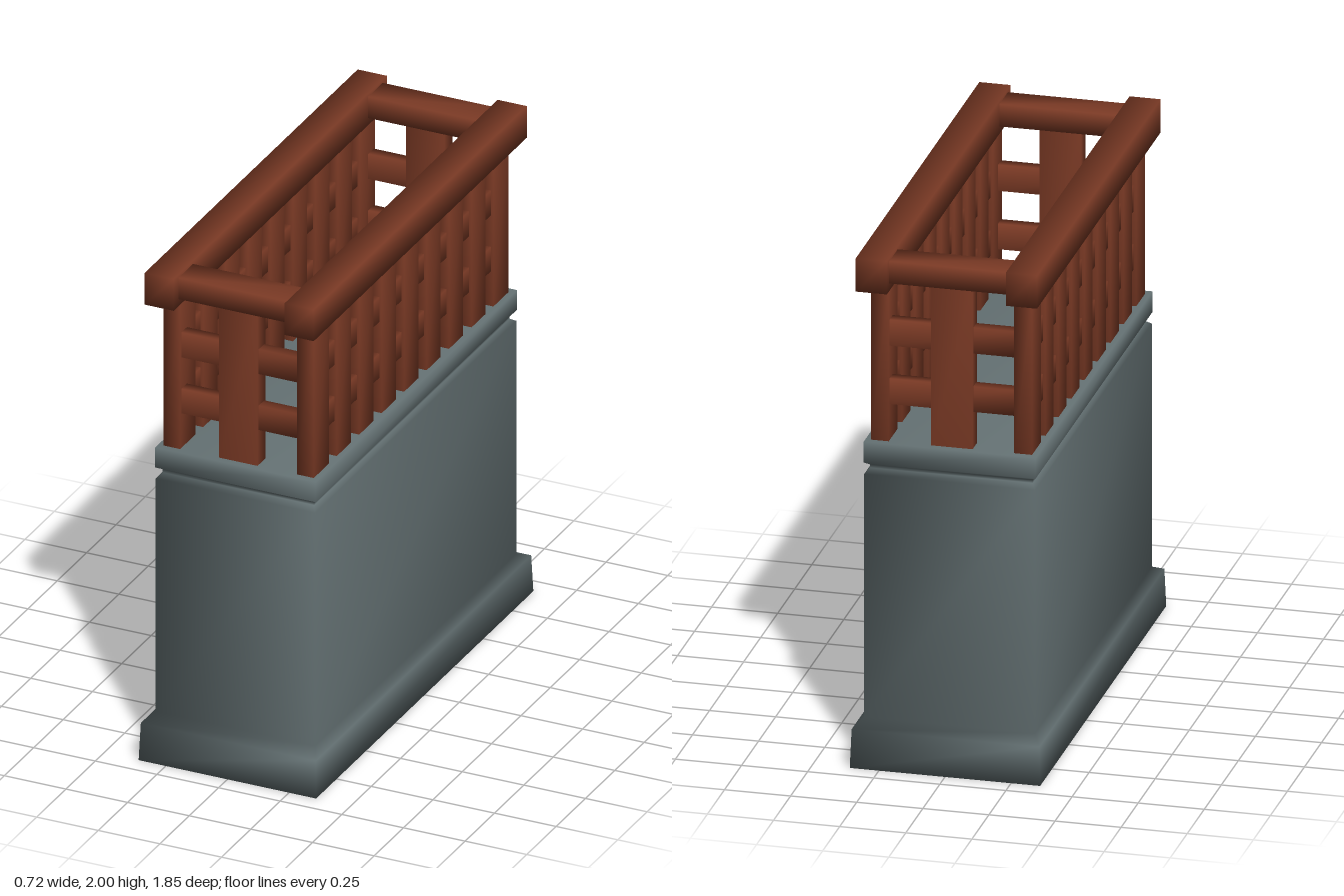
import * as THREE from 'three';
import { mergeVertices } from 'three/addons/utils/BufferGeometryUtils.js';

const stone = new THREE.MeshStandardMaterial({ color: 0x657274 });
stone.name = 'grey stone';
const wood = new THREE.MeshStandardMaterial({ color: 0x7b3a25 });
wood.name = 'red brown wood';

// Weld the corners so the shading runs smoothly round the edges
function soften(geometry) {
  geometry.deleteAttribute('normal');
  geometry.deleteAttribute('uv');
  const welded = mergeVertices(geometry);
  welded.computeVertexNormals();
  return welded;
}

// Wooden beam given by its extents on each axis
function beam(name, [x0, x1], [y0, y1], [z0, z1]) {
  const geometry = soften(new THREE.BoxGeometry(x1 - x0, y1 - y0, z1 - z0));
  const mesh = new THREE.Mesh(geometry, wood);
  mesh.position.set((x0 + x1) / 2, (y0 + y1) / 2, (z0 + z1) / 2);
  mesh.name = name;
  return mesh;
}

// Rectangular pedestal: levels are [height, half width, half depth]
function pedestal() {
  const levels = [
    [0, 0.36, 0.925], [0.15, 0.355, 0.917], [0.178, 0.323, 0.857],
    [1.135, 0.323, 0.857], [1.152, 0.308, 0.832], [1.165, 0.308, 0.832],
    [1.18, 0.325, 0.857], [1.262, 0.325, 0.857],
  ];
  const points = [];
  const index = [];
  levels.forEach(([y, x, z]) => points.push(-x, y, z, x, y, z, x, y, -z, -x, y, -z));
  for (let i = 0; i < levels.length - 1; i++) {
    for (let s = 0; s < 4; s++) {
      const a = i * 4 + s, b = i * 4 + (s + 1) % 4;
      index.push(a, b, b + 4, a, b + 4, a + 4);
    }
  }
  const t = (levels.length - 1) * 4;
  index.push(0, 2, 1, 0, 3, 2, t, t + 1, t + 2, t, t + 2, t + 3);
  const geometry = new THREE.BufferGeometry();
  geometry.setAttribute('position', new THREE.Float32BufferAttribute(points, 3));
  geometry.setIndex(index);
  geometry.computeVertexNormals();
  const mesh = new THREE.Mesh(geometry, stone);
  mesh.name = 'pedestal';
  return mesh;
}

export function createModel() {
  const group = new THREE.Group();
  group.name = 'fencedPedestal';
  group.add(pedestal());

  const crossbars = [[1.405, 1.505], [1.635, 1.737]];
  const span = (side, a, b) => (side > 0 ? [a, b] : [-b, -a]);

  for (const side of [1, -1]) {
    const label = side > 0 ? 'left' : 'right';
    const end = side > 0 ? 'front' : 'back';

    // Long sides: handrail, nine slats and two crossbars
    group.add(beam(label + 'Handrail', span(side, 0.225, 0.343), [1.87, 2], [-0.905, 0.91]));
    for (let i = 0; i < 9; i++) {
      const z = -0.765 + i * 0.1912;
      const half = i === 0 || i === 8 ? 0.065 : 0.06;
      group.add(beam(label + 'Slat', span(side, 0.237, 0.305), [1.255, 1.88], [z - half, z + half]));
    }
    for (const y of crossbars) {
      group.add(beam(label + 'Crossbar', span(side, 0.247, 0.295), y, [-0.72, 0.72]));
    }

    // Short ends: top rail, middle slat and two crossbars
    group.add(beam(end + 'Rail', [-0.235, 0.235], [1.9, 1.987], span(side, 0.745, 0.87)));
    group.add(beam(end + 'Slat', [-0.08, 0.077], [1.255, 1.91], span(side, 0.762, 0.83)));
    for (const y of crossbars) {
      group.add(beam(end + 'Crossbar', [-0.245, 0.245], y, span(side, 0.772, 0.82)));
    }
  }
  return group;
}
